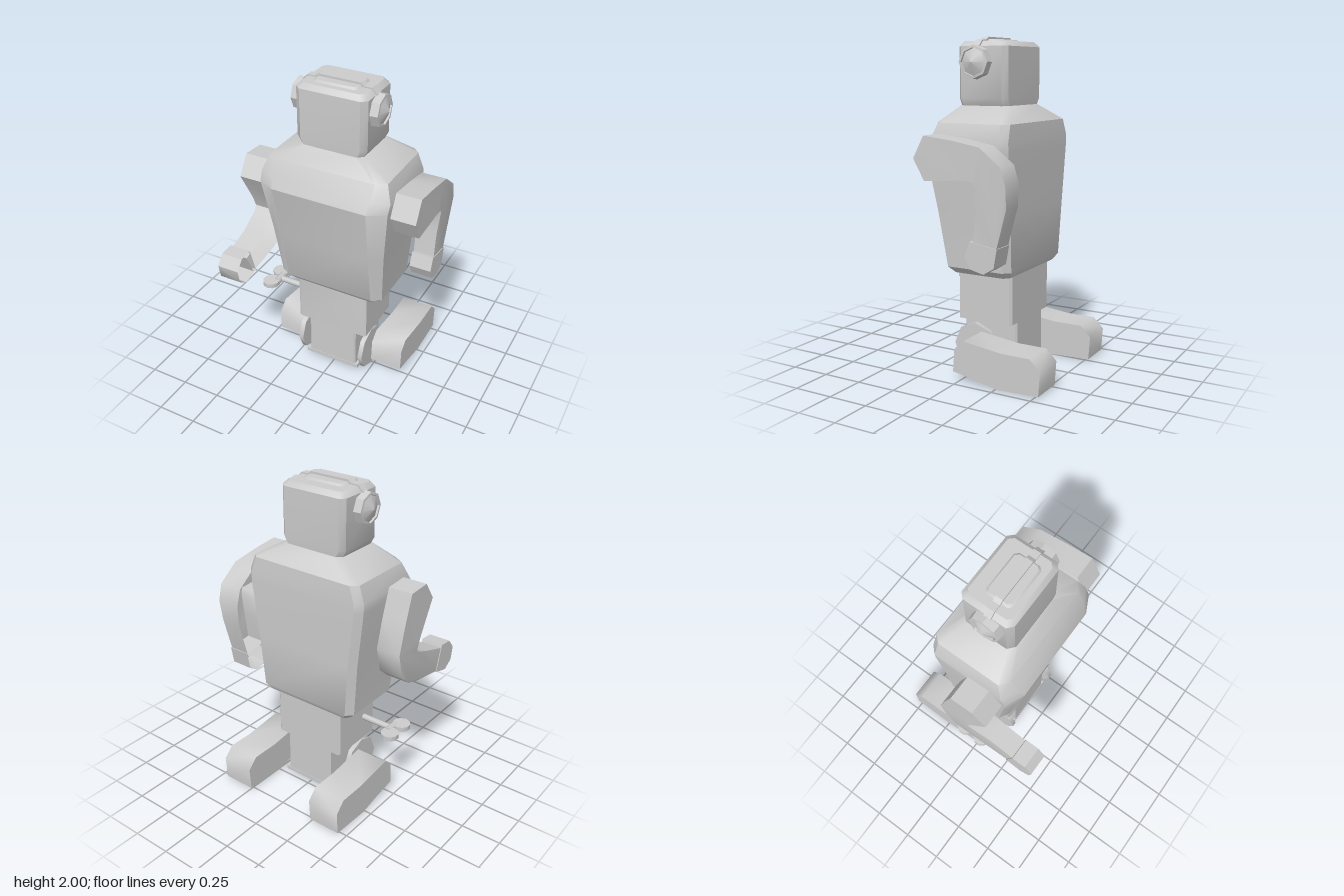
import * as THREE from 'three';
import { toCreasedNormals } from 'three/addons/utils/BufferGeometryUtils.js';

const grey = new THREE.MeshStandardMaterial({ color: 0xcccccc });
const greyThin = new THREE.MeshStandardMaterial({ color: 0xcccccc, side: THREE.DoubleSide });

function add(parent, name, geometry, material = grey) {
  const mesh = new THREE.Mesh(geometry, material);
  mesh.name = name;
  parent.add(mesh);
  return mesh;
}

// Stack of rectangles with cut corners. Row: [y, half width, front z, back z, front cut x, front cut z, back cut]
function loft(rows, crease = 0.6) {
  const pos = [], index = [], n = 8;
  for (const [y, w, f, b, cx, cz, e] of rows) {
    const ring = [[-w + cx, f], [w - cx, f], [w, f - cz], [w, b + e], [w - e, b], [-w + e, b], [-w, b + e], [-w, f - cz]];
    for (const [x, z] of ring) pos.push(x, y, z);
  }
  for (let r = 0; r < rows.length - 1; r++) {
    for (let i = 0; i < n; i++) {
      const a = r * n + i, b = r * n + (i + 1) % n;
      index.push(a, b, b + n, a, b + n, a + n);
    }
  }
  const top = (rows.length - 1) * n;
  for (let i = 1; i < n - 1; i++) {
    index.push(0, i + 1, i);
    index.push(top, top + i, top + i + 1);
  }
  const g = new THREE.BufferGeometry();
  g.setAttribute('position', new THREE.Float32BufferAttribute(pos, 3));
  g.setIndex(index);
  return toCreasedNormals(g, crease);
}

// Side profile of [z, y] points swept along +x from x = 0
function sideExtrude(points, depth) {
  const shape = new THREE.Shape(points.map(([z, y]) => new THREE.Vector2(-z, y)));
  return new THREE.ExtrudeGeometry(shape, { depth, bevelEnabled: false }).rotateY(Math.PI / 2);
}

// Same sweep, left open on the inner face
function openShell(points, x0, outerX) {
  const p = sideExtrude(points, 1).getAttribute('position');
  const kept = [];
  for (let i = 0; i < p.count; i += 3) {
    if (p.getX(i) + p.getX(i + 1) + p.getX(i + 2) < 0.01) continue;
    for (let k = i; k < i + 3; k++) {
      const y = p.getY(k);
      kept.push(p.getX(k) > 0.5 ? outerX(y) : x0, y, p.getZ(k));
    }
  }
  const g = new THREE.BufferGeometry();
  g.setAttribute('position', new THREE.Float32BufferAttribute(kept, 3));
  return toCreasedNormals(g, 0.8);
}

// Bent arm and cupped hand, relative to the shoulder joint
function makeArm(name) {
  const arm = new THREE.Group();
  arm.name = name;
  const local = (pts) => pts.map(([z, y]) => [z - 0.06, y - 1.32]);
  const sleeve = local([
    [0.21, 1.32], [0.14, 1.45], [-0.04, 1.43], [-0.22, 1.4], [-0.35, 1.3], [-0.38, 1.2], [-0.375, 1.07],
    [-0.31, 0.83], [-0.16, 0.83], [-0.185, 1.03], [-0.19, 1.18], [-0.175, 1.21], [-0.1, 1.215], [0.14, 1.195],
  ]);
  const hand = local([
    [-0.145, 0.875], [-0.32, 0.85], [-0.3, 0.74], [-0.235, 0.7], [-0.15, 0.72], [-0.115, 0.79],
  ]);
  const taper = (y) => 0.553 + 0.022 * THREE.MathUtils.clamp((y + 0.25) / 0.15, 0, 1);
  add(arm, 'sleeve', openShell(sleeve, 0.42, taper), greyThin);
  add(arm, 'hand', openShell(hand, 0.418, () => 0.558), greyThin);
  return arm;
}

export function createModel() {
  const model = new THREE.Group();
  model.name = 'toyRobot';

  // Torso
  add(model, 'torso', loft([
    [0.62, 0.31, 0.13, -0.25, 0.05, 0.03, 0.03],
    [0.66, 0.35, 0.165, -0.275, 0.06, 0.035, 0.04],
    [1.0, 0.375, 0.225, -0.285, 0.08, 0.045, 0.04],
    [1.35, 0.415, 0.29, -0.29, 0.11, 0.055, 0.04],
    [1.41, 0.417, 0.262, -0.29, 0.1, 0.055, 0.04],
    [1.51, 0.38, 0.208, -0.283, 0.06, 0.04, 0.04],
    [1.605, 0.2, 0.14, -0.19, 0.03, 0.03, 0.03],
  ]));

  // Head with a raised top plate
  add(model, 'head', loft([
    [1.59, 0.195, 0.135, -0.185, 0.03, 0.03, 0.03],
    [1.645, 0.224, 0.14, -0.19, 0.035, 0.03, 0.03],
    [1.945, 0.224, 0.14, -0.19, 0.035, 0.03, 0.03],
    [1.975, 0.195, 0.115, -0.165, 0.025, 0.025, 0.025],
  ]));
  add(model, 'headPlate', loft([
    [1.97, 0.145, 0.085, -0.095, 0.02, 0.02, 0.02],
    [1.987, 0.13, 0.07, -0.08, 0.02, 0.02, 0.02],
  ]));

  // Band over the head from ear to ear
  const half = [[0.235, 1.88], [0.235, 1.95], [0.2, 1.983], [0.155, 1.983], [0.13, 2]];
  const outline = [...half, ...half.map(([x, y]) => [-x, y]).reverse()];
  const bandShape = new THREE.Shape(outline.map(([x, y]) => new THREE.Vector2(x, y)));
  add(model, 'headBand', new THREE.ExtrudeGeometry(bandShape, { depth: 0.045, bevelEnabled: false })
    .translate(0, 0, -0.0225));

  // Hips, inner column and base plate
  add(model, 'hips', loft([
    [0.32, 0.242, 0.127, -0.238, 0.015, 0.01, 0.015],
    [0.63, 0.242, 0.127, -0.238, 0.015, 0.01, 0.015],
  ]));
  add(model, 'legColumn', loft([
    [0.03, 0.168, 0.125, -0.235, 0.01, 0.01, 0.01],
    [0.34, 0.168, 0.125, -0.235, 0.01, 0.01, 0.01],
  ]));
  add(model, 'basePlate', new THREE.BoxGeometry(0.374, 0.026, 0.365).translate(0, 0.043, -0.055));

  // Ears, ankle discs and feet on both sides
  const footProfile = [
    [0.035, 0.06], [0.025, 0.2], [-0.035, 0.255], [-0.29, 0.225], [-0.47, 0.225],
    [-0.535, 0.16], [-0.525, 0.015], [-0.26, 0.004], [-0.12, 0.035],
  ];
  const earProfile = [[0, 0.22], [0.1, 0.22], [0.096, 0.272], [0.082, 0.274], [0.08, 0.262], [0, 0.297]]
    .map(([r, y]) => new THREE.Vector2(r, y));
  for (const [side, s] of [['left', 1], ['right', -1]]) {
    const group = new THREE.Group();
    group.name = side + 'Side';
    group.scale.x = s;
    add(group, side + 'Ear', toCreasedNormals(new THREE.LatheGeometry(earProfile, 8), 0.4)
      .rotateZ(-Math.PI / 2).translate(0, 1.855, 0), greyThin);
    add(group, side + 'AnkleDisc', new THREE.CylinderGeometry(0.143, 0.143, 0.03, 8)
      .rotateZ(Math.PI / 2).translate(0.218, 0.155, 0.016));
    // Hidden pin joining column, disc and foot
    add(group, side + 'AnklePin', new THREE.CylinderGeometry(0.02, 0.02, 0.12, 8)
      .rotateZ(Math.PI / 2).translate(0.2, 0.05, -0.01));
    add(group, side + 'Foot', toCreasedNormals(sideExtrude(footProfile, 0.21), 0.9).translate(0.243, 0, 0));
    model.add(group);
  }

  // Arms: same part, the right one swung forward
  const leftArm = makeArm('leftArm');
  leftArm.position.set(0, 1.32, 0.06);
  const rightArm = makeArm('rightArm');
  rightArm.scale.x = -1;
  rightArm.rotation.x = THREE.MathUtils.degToRad(-65.5);
  rightArm.position.set(0, 1.305, 0.07);
  model.add(leftArm, rightArm);

  // Winding key at the right hip
  const key = new THREE.Group();
  key.name = 'windingKey';
  key.position.set(0, 0.476, 0.02);
  add(key, 'keyShaft', new THREE.CylinderGeometry(0.02, 0.02, 0.24, 8)
    .rotateZ(Math.PI / 2).translate(-0.34, 0, 0));
  add(key, 'keyHub', new THREE.CylinderGeometry(0.024, 0.024, 0.09, 8)
    .rotateX(Math.PI / 2).translate(-0.45, 0, 0));
  for (const s of [-1, 1]) {
    add(key, 'keyWing', new THREE.CylinderGeometry(0.056, 0.056, 0.03, 10)
      .translate(-0.482, 0, s * 0.064));
  }
  model.add(key);

  return model;
}
